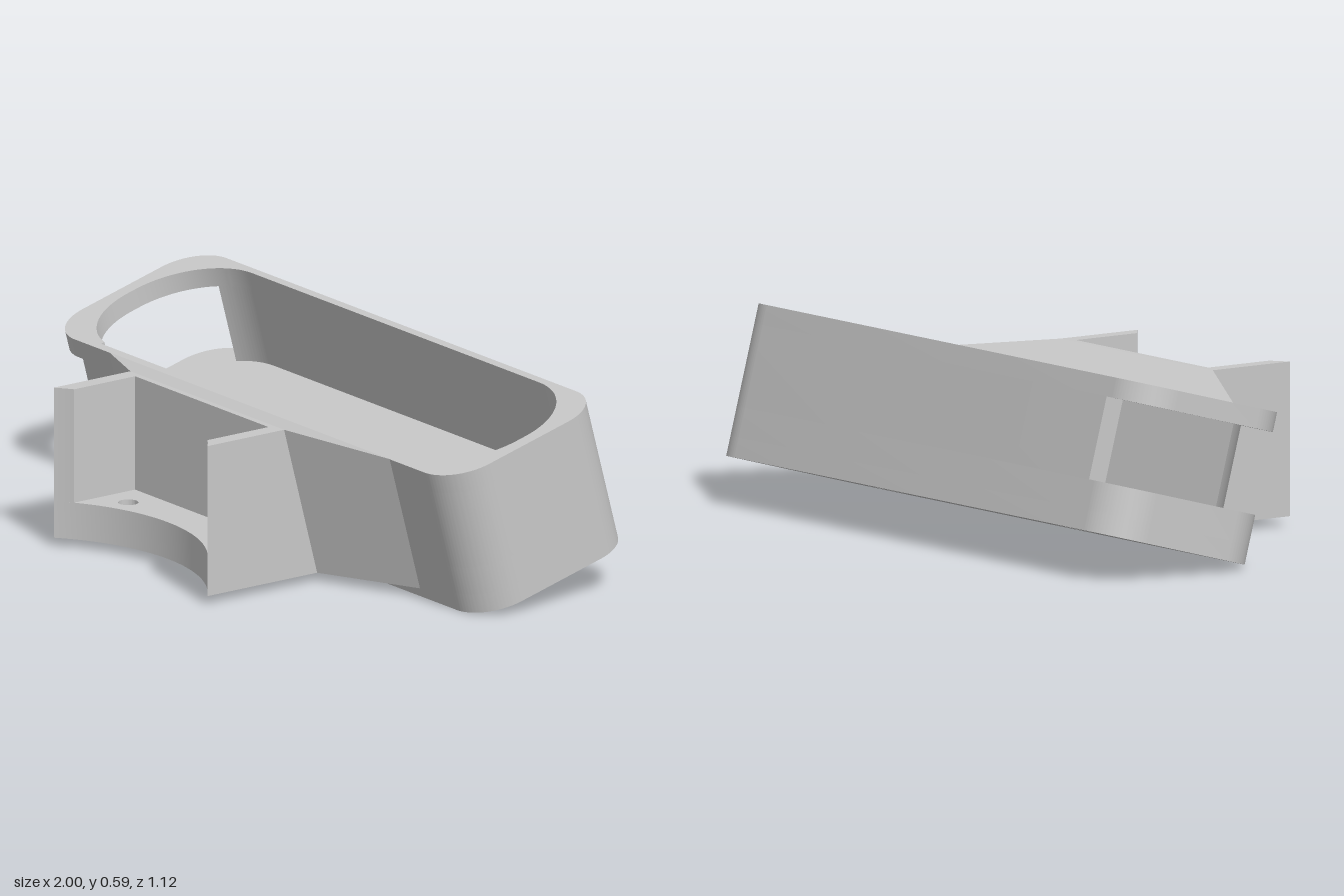
import * as THREE from 'three';
import { toCreasedNormals } from 'three/addons/utils/BufferGeometryUtils.js';
import { ConvexGeometry } from 'three/addons/geometries/ConvexGeometry.js';

const grey = new THREE.MeshStandardMaterial({ color: 0xc8c8c8 });
grey.name = 'plain grey';

// Plan shapes are drawn in (x, s) with s = -z.
function outerShape() {
  const shape = new THREE.Shape(), x = 0.86, r = 0.14, s1 = 0.44;
  shape.absarc(x, r, r, -Math.PI / 2, 0);
  shape.absarc(x, s1, r, 0, Math.PI / 2);
  shape.absarc(-x, s1, r, Math.PI / 2, Math.PI);
  shape.absarc(-x, r, r, Math.PI, Math.PI * 1.5);
  shape.closePath();
  return shape;
}

// Pocket outline, clockwise from the right end; it stops at x = cut on the left.
// The front side is a flat panel set slightly into the wall.
function addPocket(path, cut) {
  const r = 0.25, x = 0.955 - r, s0 = 0.03 + r, s1 = 0.558 - r;
  const panelX = 0.76, panelS = 0.024;
  const end = Math.acos((-cut - x) / r), panel = Math.acos((panelX - x) / r);
  path.absarc(-x, s1, r, Math.PI - end, Math.PI / 2, true);
  path.absarc(x, s1, r, Math.PI / 2, 0, true);
  path.absarc(x, s0, r, 0, -panel, true);
  path.lineTo(panelX, panelS);
  path.lineTo(-panelX, panelS);
  path.absarc(-x, s0, r, -Math.PI + panel, -Math.PI + end, true);
  path.closePath();
  return path;
}

function circle(x, s, r) {
  return new THREE.Path().absarc(x, s, r, 0, Math.PI * 2);
}

// Extrudes a plan shape upwards from y0 to y1.
function slab(name, shape, y0, y1) {
  const geo = new THREE.ExtrudeGeometry(shape, { depth: y1 - y0, bevelEnabled: false, curveSegments: 20 });
  geo.rotateX(-Math.PI / 2).translate(0, y0, 0);
  const mesh = new THREE.Mesh(toCreasedNormals(geo, 0.5), grey);
  mesh.name = name;
  return mesh;
}

function createHousing() {
  const g = new THREE.Group();
  g.name = 'housing';

  // Floor with counterbored screw holes
  [['floorLower', 0, 0.06, 0.055], ['floorUpper', 0.06, 0.15, 0.034]].forEach(([name, y0, y1, r]) => {
    const floor = outerShape();
    floor.holes.push(circle(-0.47, 0.31, r), circle(0.47, 0.31, r));
    g.add(slab(name, floor, y0, y1));
  });

  // Wall, cut away at the right end to leave the side opening
  const cut = -0.84;
  const wall = new THREE.Shape();
  wall.moveTo(cut, 0);
  wall.lineTo(0.86, 0);
  wall.absarc(0.86, 0.14, 0.14, -Math.PI / 2, 0);
  wall.absarc(0.86, 0.44, 0.14, 0, Math.PI / 2);
  wall.lineTo(cut, 0.58);
  g.add(slab('wall', addPocket(wall, cut), 0.15, 0.4));

  // Closed rim above the opening
  const rim = outerShape();
  rim.holes.push(addPocket(new THREE.Path(), -0.955));
  g.add(slab('rim', rim, 0.4, 0.46));

  g.rotation.x = THREE.MathUtils.degToRad(15);
  return g;
}

function createBracket() {
  const g = new THREE.Group();
  g.name = 'bracket';
  const W = 0.378, IN = 0.328, BACK = 0.295, Y0 = 0.027, Y1 = 0.489;
  const R = 0.588, C = 1.008; // concave front arc
  const angle = x => Math.acos(x / R);

  // Base plate with two bolt holes
  const base = new THREE.Shape();
  base.moveTo(W, -BACK);
  base.lineTo(-W, -BACK);
  base.absarc(0, -C, R, angle(-W), angle(W), true);
  base.closePath();
  base.holes.push(circle(-0.235, -0.39, 0.03), circle(0.225, -0.39, 0.03));
  g.add(slab('bracketBase', base, Y0, 0.14));

  // Side cheeks
  for (const side of [-1, 1]) {
    const cheek = new THREE.Shape();
    cheek.moveTo(side * W, -BACK);
    cheek.lineTo(side * IN, -BACK);
    cheek.absarc(0, -C, R, angle(side * IN), angle(side * W), side > 0);
    cheek.closePath();
    g.add(slab(side > 0 ? 'leftCheek' : 'rightCheek', cheek, 0.14, Y1));
  }

  // Back web (slanted rear) and flared neck joining the housing
  const hull = (name, sections) => {
    const pts = [];
    for (const [x, y, z] of sections) for (const s of [-1, 1]) pts.push(new THREE.Vector3(s * x, y, z));
    const mesh = new THREE.Mesh(new ConvexGeometry(pts), grey);
    mesh.name = name;
    g.add(mesh);
  };
  hull('backWeb', [[W, Y0, 0.153], [W, Y1, 0.275], [W, Y1, BACK], [W, Y0, BACK]]);
  hull('neck', [[W, Y0, 0.153], [W, Y1, 0.275], [0.69, 0.445, 0.119], [0.69, Y0, 0.007]]);
  return g;
}

export function createModel() {
  const model = new THREE.Group();
  model.name = 'angledHolder';
  model.add(createHousing(), createBracket());
  return model;
}
